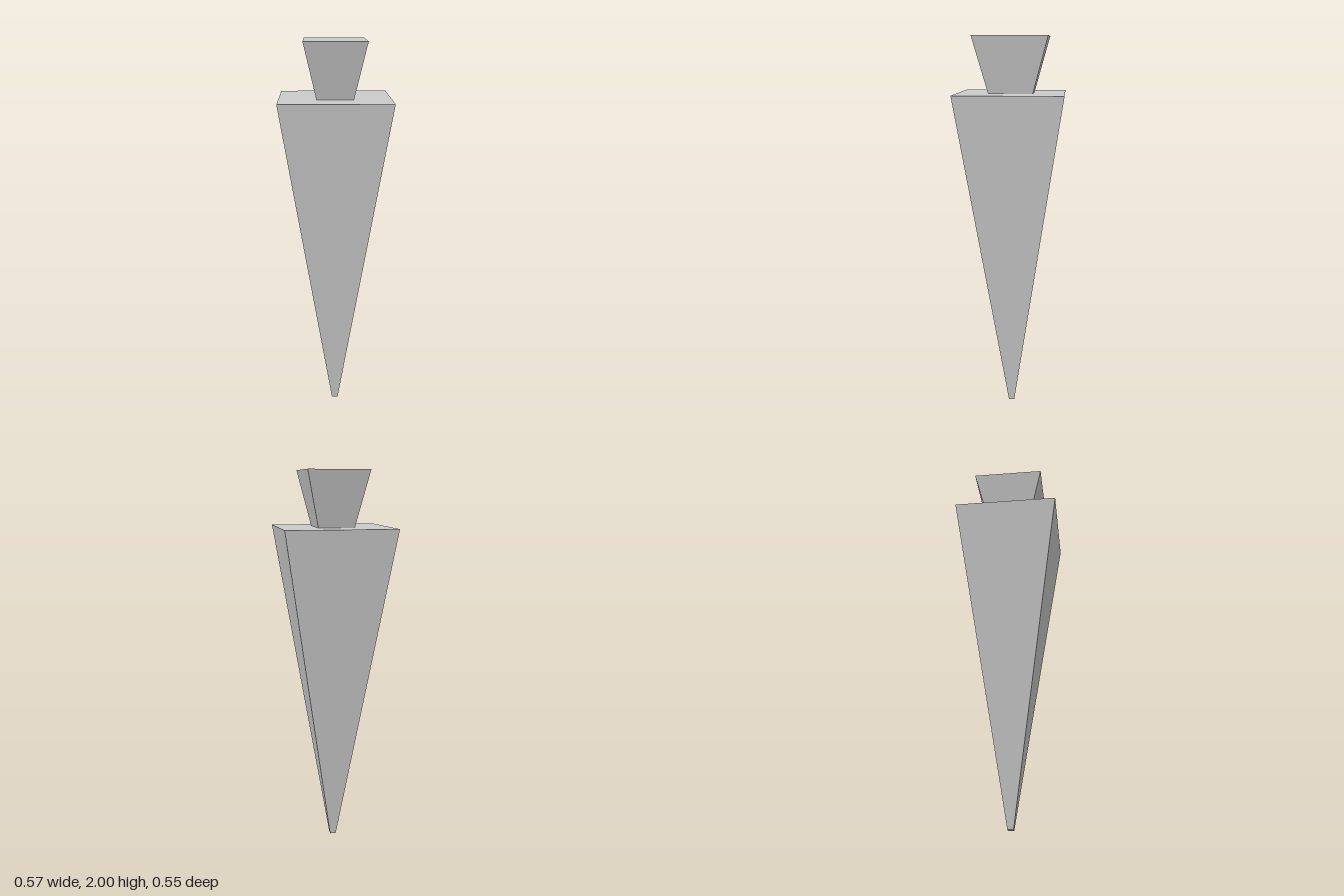
import * as THREE from 'three';

const material = new THREE.MeshStandardMaterial({ color: 0xcccccc, flatShading: true });

// Box whose bottom and top rectangles differ; sizes are [half width, half depth]
function taperedBox(name, y0, y1, bottom, top) {
  const geometry = new THREE.BoxGeometry(2, y1 - y0, 2);
  geometry.translate(0, (y0 + y1) / 2, 0);
  const p = geometry.attributes.position;
  for (let i = 0; i < p.count; i++) {
    const [w, d] = p.getY(i) > (y0 + y1) / 2 ? top : bottom;
    p.setX(i, p.getX(i) * w);
    p.setZ(i, p.getZ(i) * d);
  }
  geometry.computeVertexNormals();
  const mesh = new THREE.Mesh(geometry, material);
  mesh.name = name;
  return mesh;
}

export function createModel() {
  const group = new THREE.Group();
  group.name = 'taperedSpike';
  // Long spike narrowing to a small blunt tip
  group.add(taperedBox('spike', 0, 1.715, [0.016, 0.015], [0.283, 0.274]));
  // Flared head standing on the spike's flat top
  group.add(taperedBox('head', 1.715, 2, [0.093, 0.113], [0.157, 0.19]));
  return group;
}
